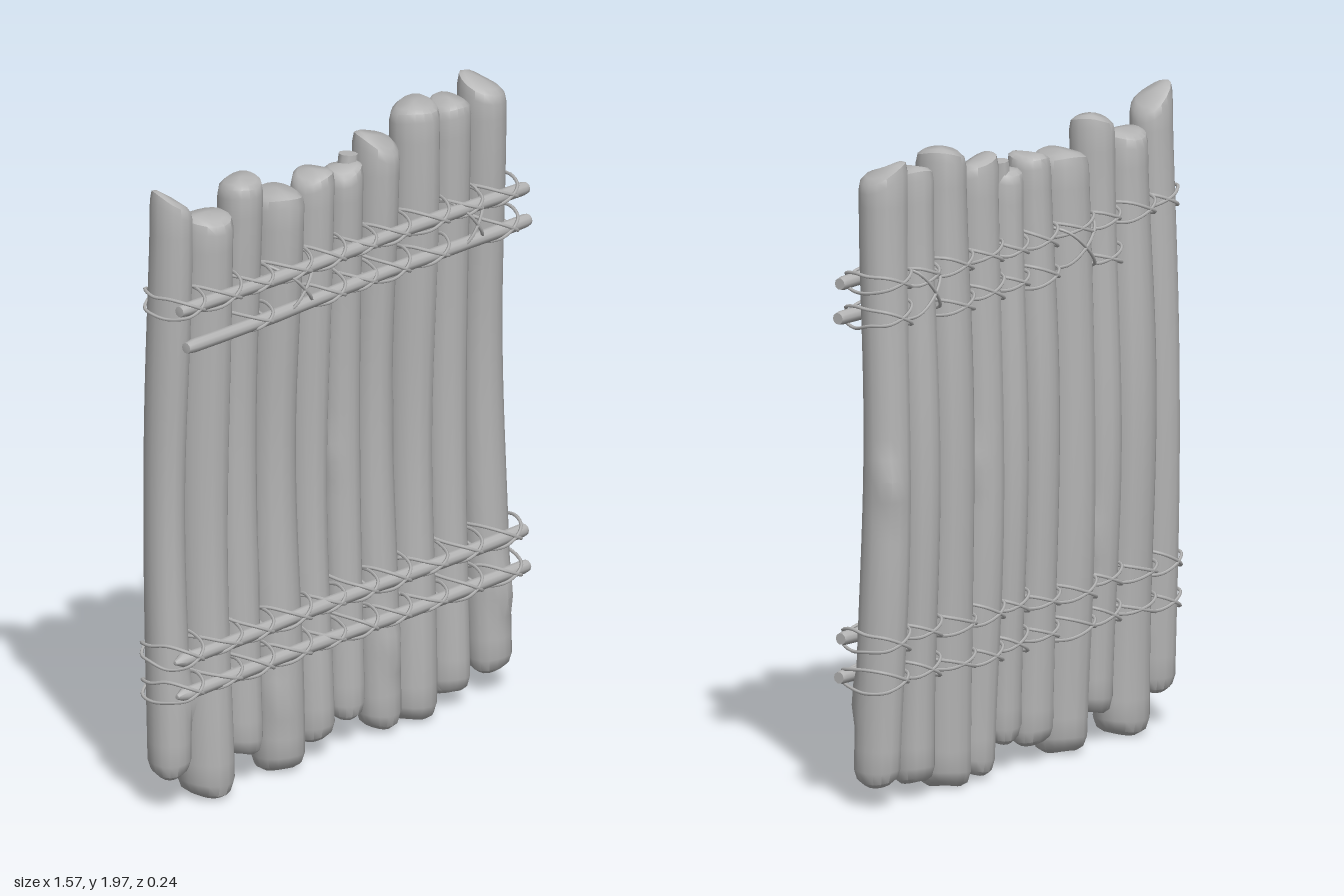
import * as THREE from 'three';
import { mergeVertices, toCreasedNormals } from 'three/addons/utils/BufferGeometryUtils.js';

const wood = new THREE.MeshStandardMaterial({ color: 0xb4b4b4 });
wood.name = 'weathered grey';

// x at bottom, middle and top; radius; bottom and top heights; top slants; knots [angle from +x towards +z, y, size]
const LOGS = [
  { x: [-0.715, -0.707, -0.703], r: 0.063, y0: 0.11, y1: 1.945, sx: -0.045, sz: -0.01, knots: [[0.6, 0.35, 0.025]] },
  { x: [-0.547, -0.55, -0.552], r: 0.082, y0: 0.01, y1: 1.86, sx: 0, sz: 0, knots: [] },
  { x: [-0.393, -0.403, -0.4], r: 0.066, y0: 0.1, y1: 1.93, sx: 0.01, sz: 0, knots: [[0, 0.67, 0.022]] },
  { x: [-0.235, -0.242, -0.233], r: 0.081, y0: 0.01, y1: 1.85, sx: 0, sz: 0, knots: [[2.4, 0.25, 0.01]] },
  { x: [-0.078, -0.083, -0.078], r: 0.066, y0: 0.06, y1: 1.87, sx: 0.01, sz: 0, knots: [] },
  { x: [0.065, 0.065, 0.055], r: 0.06, y0: 0.09, y1: 1.85, sx: 0.01, sz: 0, knots: [[3.0, 0.95, 0.01]] },
  { x: [0.214, 0.205, 0.207], r: 0.068, y0: 0.02, y1: 1.9, sx: -0.02, sz: -0.025, knots: [[0, 1.0, 0.02], [1.6, 0.29, 0.018]] },
  { x: [0.358, 0.372, 0.372], r: 0.076, y0: 0.01, y1: 1.965, sx: 0.01, sz: 0, knots: [] },
  { x: [0.522, 0.528, 0.525], r: 0.066, y0: 0.05, y1: 1.935, sx: 0.005, sz: -0.005, knots: [] },
  { x: [0.703, 0.69, 0.675], r: 0.07, y0: 0.07, y1: 1.955, sx: -0.02, sz: -0.025, knots: [[1.5, 0.34, 0.025], [-0.7, 1.0, 0.022]] },
];

// Centre line of a log: a shallow bend sideways, and bowed towards the back in the middle
function centre(log, y) {
  const t = THREE.MathUtils.clamp(y / 1.95, 0, 1);
  const [a, b, c] = log.x;
  const x = a * (1 - t) * (1 - 2 * t) + b * 4 * t * (1 - t) + c * t * (2 * t - 1);
  return [x, -0.012 - 0.026 * Math.pow(Math.sin(Math.PI * t), 2)];
}

function smooth(geometry, angle) {
  geometry.deleteAttribute('uv');
  geometry.deleteAttribute('normal');
  return toCreasedNormals(mergeVertices(geometry, 1e-5), angle);
}

function makeLog(log, index) {
  const { r, y0, y1 } = log;
  // Rounded ends, straight shaft
  const profile = [[0, y0], [r * 0.6, y0 + 0.003], [r * 0.87, y0 + 0.018], [r, y0 + 0.05]];
  for (let i = 1; i < 28; i++) profile.push([r, y0 + 0.05 + (y1 - y0 - 0.09) * i / 28]);
  profile.push([r, y1 - 0.04], [r * 0.93, y1 - 0.012], [r * 0.72, y1], [0, y1 + 0.008]);
  const g = new THREE.LatheGeometry(profile.map(p => new THREE.Vector2(p[0], p[1])), 16);
  const pos = g.attributes.position;
  for (let i = 0; i < pos.count; i++) {
    let x = pos.getX(i), y = pos.getY(i), z = pos.getZ(i);
    const a = Math.atan2(z, x), rad = Math.hypot(x, z) / r;
    // Uneven girth and knots
    let k = 1 + 0.03 * Math.sin(a * 3 + index * 2 + y * 1.5) + 0.03 * Math.sin(y * 5 + index * 1.9);
    for (const [ka, ky, size] of log.knots) {
      const da = Math.atan2(Math.sin(a - ka), Math.cos(a - ka));
      k += size / r * Math.exp(-Math.pow(da / 0.55, 2) - Math.pow((y - ky) / 0.05, 2));
    }
    const [cx, cz] = centre(log, y);
    // Slanted, chipped ends
    const top = THREE.MathUtils.smoothstep(y, y1 - 0.12, y1 - 0.02);
    const end = top + THREE.MathUtils.smoothstep(-y, -y0 - 0.08, -y0 - 0.01);
    y += top * (log.sx * x / r + log.sz * z / r) + end * rad * 0.008 * Math.sin(a * 2 + index * 1.3);
    pos.setXYZ(i, cx + x * k, Math.max(y, 0), cz + z * k * 1.05);
  }
  const mesh = new THREE.Mesh(smooth(g, 0.75), wood);
  mesh.name = 'log' + (index + 1);
  return mesh;
}

const RAIL_Z = 0.078, RAIL_R = 0.021;
// Ends in x, heights at those ends, and which logs are lashed
const RAILS = [
  { x0: -0.77, x1: 0.77, ya: 1.625, yb: 1.613, tip: 0.8, skip: [] },
  { x0: -0.74, x1: 0.78, ya: 1.503, yb: 1.507, tip: 0.8, skip: [0, 1, 3, 8] },
  { x0: -0.79, x1: 0.765, ya: 0.512, yb: 0.518, tip: 0.3, skip: [] },
  { x0: -0.78, x1: 0.775, ya: 0.402, yb: 0.398, tip: 0.35, skip: [] },
];
const railY = (rail, x) => THREE.MathUtils.mapLinear(x, rail.x0, rail.x1, rail.ya, rail.yb);

function makeRail(rail, index) {
  const len = rail.x1 - rail.x0;
  const profile = [[0, 0], [RAIL_R * rail.tip, 0.002], [RAIL_R, 0.035]];
  for (let i = 1; i < 12; i++) profile.push([RAIL_R * (1 + 0.05 * Math.sin(i * 2.3 + index)), 0.035 + (len - 0.05) * i / 12]);
  profile.push([RAIL_R, len - 0.015], [RAIL_R * 0.85, len], [0, len]);
  const g = new THREE.LatheGeometry(profile.map(p => new THREE.Vector2(p[0], p[1])), 10);
  g.rotateZ(-Math.PI / 2);
  g.translate(rail.x0, 0, 0);
  const pos = g.attributes.position;
  for (let i = 0; i < pos.count; i++) {
    const x = pos.getX(i);
    pos.setXYZ(i, x, pos.getY(i) + railY(rail, x) + 0.003 * Math.sin(x * 6 + index), pos.getZ(i) + RAIL_Z);
  }
  const mesh = new THREE.Mesh(smooth(g, 0.8), wood);
  mesh.name = 'crossRail' + (index + 1);
  return mesh;
}

// A closed rope loop that crosses the rail diagonally and wraps round the back of the log
function makeLoop(log, y, rise, dir, backLift) {
  const [cx, cz] = centre(log, y);
  const r = log.r + 0.006;
  const pts = [
    [0, 0, RAIL_Z + RAIL_R + 0.006],
    [0.5, 0.6, RAIL_Z + 0.014],
    [0.93, 1, 0.035],
    [1.05, 0.9, cz],
    [0.76, 0.7, cz - r * 0.8],
    [0, 0, cz - r * 1.08],
    [-0.76, -0.7, cz - r * 0.8],
    [-1.05, -0.9, cz],
    [-0.93, -1, 0.035],
    [-0.5, -0.6, RAIL_Z + 0.014],
  ].map(([u, v, z]) => new THREE.Vector3(cx + u * r, y + v * rise * dir + (z < -0.02 ? backLift : 0), z));
  const curve = new THREE.CatmullRomCurve3(pts, true, 'centripetal');
  return new THREE.Mesh(new THREE.TubeGeometry(curve, 40, 0.0055, 5, true), wood);
}

function makeLashing(log, y, rise, n) {
  const group = new THREE.Group();
  group.name = 'lashing';
  group.add(makeLoop(log, y, rise, 1, 0.01 * Math.sin(n)), makeLoop(log, y + 0.004, rise * 0.9, -1, 0.012 * Math.cos(n * 2)));
  return group;
}

export function createModel() {
  const model = new THREE.Group();
  model.name = 'logPalisade';
  LOGS.forEach((log, i) => model.add(makeLog(log, i)));
  RAILS.forEach((rail, i) => {
    model.add(makeRail(rail, i));
    LOGS.forEach((log, j) => {
      if (rail.skip.includes(j)) return;
      const y = railY(rail, centre(log, rail.ya)[0]);
      model.add(makeLashing(log, y, 0.032 + 0.006 * Math.sin(j * 2.1 + i), i * 10 + j));
    });
  });
  // Tall crossed lashings that tie the two upper rails together
  for (const j of [3, 8]) model.add(makeLashing(LOGS[j], 1.56, 0.085, j));
  // Broken branch stub on the sixth log
  const stub = new THREE.Mesh(smooth(new THREE.CylinderGeometry(0.03, 0.036, 0.12, 9), 0.8), wood);
  stub.name = 'branchStub';
  stub.position.set(0.082, 1.82, -0.02);
  stub.rotation.z = -0.1;
  model.add(stub);
  return model;
}
